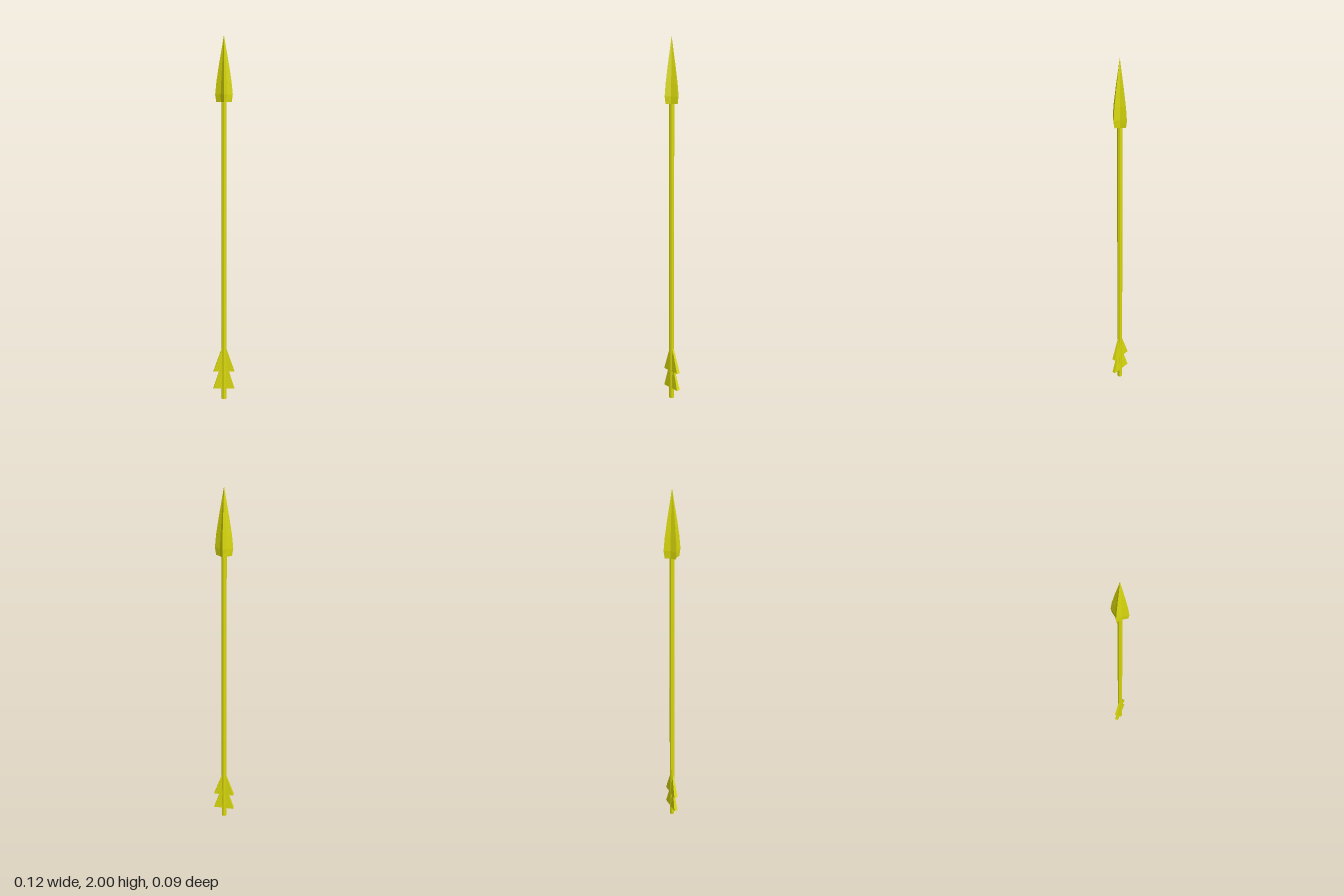
import * as THREE from 'three';

const gold = new THREE.MeshStandardMaterial({ color: 0xd8d80c });
gold.name = 'yellow';

function part(geometry, name) {
  const flat = geometry.index ? geometry.toNonIndexed() : geometry;
  flat.computeVertexNormals();
  const mesh = new THREE.Mesh(flat, gold);
  mesh.name = name;
  return mesh;
}

// Four-bladed head: star cross-sections [y, blade radius, valley radius]
function headGeometry() {
  const rings = [
    [1.65, 0.041, 0.024], [1.69, 0.047, 0.025], [1.76, 0.040, 0.021],
    [1.85, 0.026, 0.014], [1.93, 0.012, 0.007], [2.0, 0, 0],
  ];
  const n = 8, pos = [], idx = [];
  for (const [y, tip, valley] of rings) {
    for (let i = 0; i < n; i++) {
      const a = (i / n) * Math.PI * 2, r = i % 2 ? valley : tip;
      pos.push(r * Math.cos(a), y, r * Math.sin(a));
    }
  }
  for (let k = 0; k < rings.length - 1; k++) {
    for (let i = 0; i < n; i++) {
      const a = k * n + i, b = k * n + (i + 1) % n, c = a + n, d = b + n;
      idx.push(a, c, b);
      if (k < rings.length - 2) idx.push(b, c, d);
    }
  }
  // Flat underside
  const centre = pos.length / 3;
  pos.push(0, 1.65, 0);
  for (let i = 0; i < n; i++) idx.push(centre, i, (i + 1) % n);
  const g = new THREE.BufferGeometry();
  g.setAttribute('position', new THREE.Float32BufferAttribute(pos, 3));
  g.setIndex(idx);
  return g;
}

// One barb: a triangle wedge, thick at the bottom and thin at the top
function barbGeometry(bottom, top, topX) {
  const s = new THREE.Shape();
  s.moveTo(-0.058, bottom);
  s.lineTo(0.058, bottom);
  s.lineTo(topX, top);
  s.lineTo(-topX, top);
  s.closePath();
  const g = new THREE.ExtrudeGeometry(s, { depth: 1, bevelEnabled: false });
  const p = g.attributes.position;
  for (let i = 0; i < p.count; i++) {
    const t = (p.getY(i) - bottom) / (top - bottom);
    p.setZ(i, (p.getZ(i) - 0.5) * (0.02 - 0.012 * t) - 0.002 * (1 - t));
  }
  return g;
}

export function createModel() {
  const arrow = new THREE.Group();
  arrow.name = 'arrow';

  const shaft = new THREE.CylinderGeometry(0.014, 0.014, 1.66, 8);
  shaft.translate(0, 0.83, 0);
  arrow.add(part(shaft, 'shaft'));

  arrow.add(part(headGeometry(), 'arrowhead'));

  // Two stacked pairs of barbs at the tail
  arrow.add(part(barbGeometry(0.16, 0.3, 0.01), 'upperFletching'));
  arrow.add(part(barbGeometry(0.06, 0.17, 0.024), 'lowerFletching'));

  return arrow;
}
